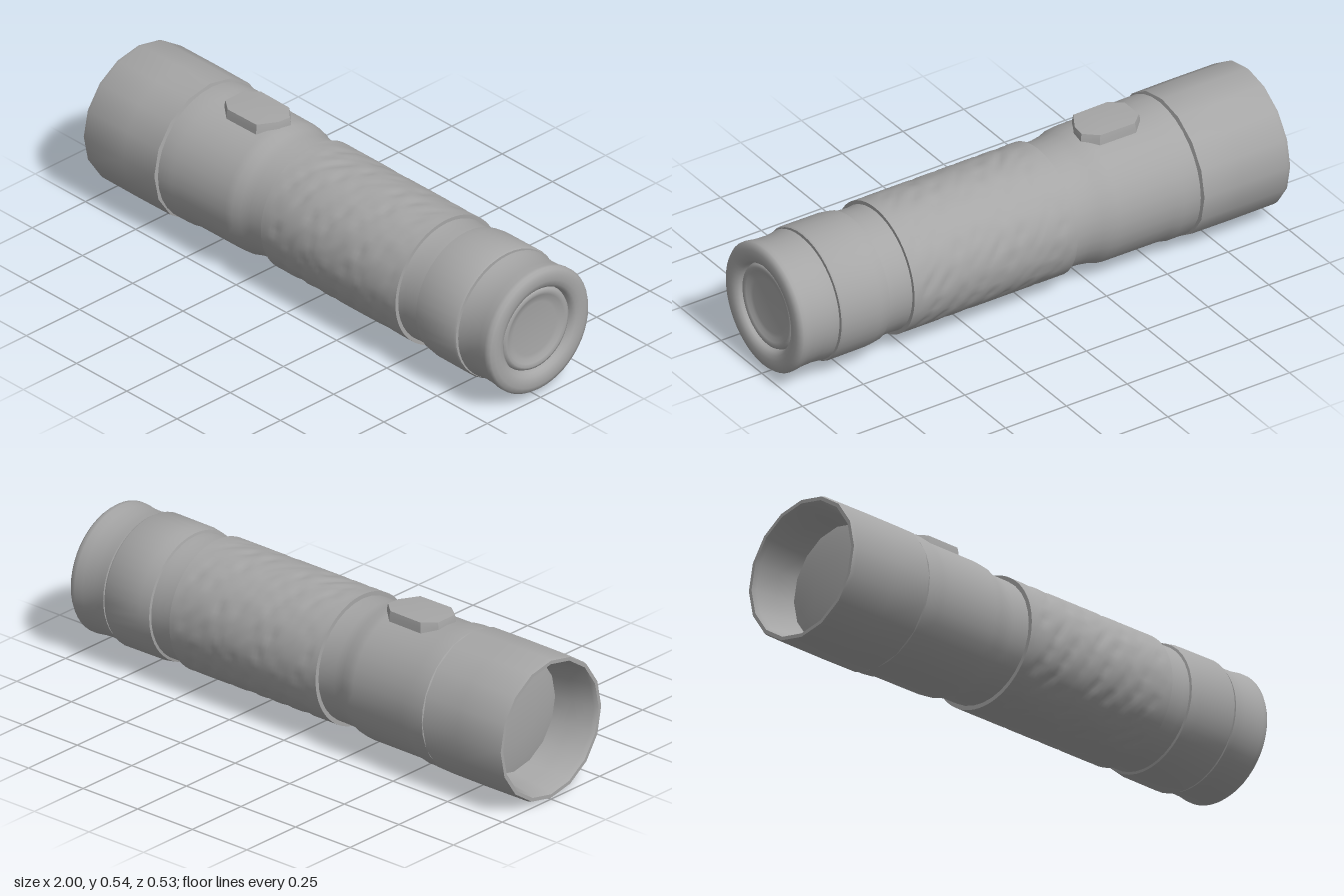
import * as THREE from 'three';
import { toCreasedNormals, mergeVertices } from 'three/addons/utils/BufferGeometryUtils.js';

const AXIS_Y = 0.264;

export function createModel() {
  const group = new THREE.Group();
  const metal = new THREE.MeshStandardMaterial({ color: 0xa6a6a6 });
  metal.name = 'grey metal';

  function add(name, geometry) {
    const mesh = new THREE.Mesh(geometry, metal);
    mesh.name = name;
    group.add(mesh);
    return mesh;
  }

  // Turned part along x; profile points are [x, radius]
  function turned(profile, sides) {
    const g = new THREE.LatheGeometry(profile.map(([x, r]) => new THREE.Vector2(r, x)), sides);
    g.rotateZ(-Math.PI / 2);
    g.translate(0, AXIS_Y, 0);
    return g;
  }
  const addTurned = (name, profile, sides, crease = 0.6) =>
    add(name, toCreasedNormals(turned(profile, sides), crease));

  // Faceted head with an open reflector cup
  addTurned('head', [
    [-0.83, 0.212], [-0.90, 0.224], [-0.985, 0.236], [-1.0, 0.245],
    [-1.0, 0.258], [-0.985, 0.262], [-0.8, 0.263], [-0.645, 0.262], [-0.64, 0.235],
  ], 16);

  // Slightly domed lens at the bottom of the cup
  addTurned('lens', [[-0.845, 0], [-0.843, 0.1], [-0.835, 0.18], [-0.828, 0.216]], 24);

  // Neck that carries the switch and tapers towards the grip
  addTurned('neck', [
    [-0.645, 0.235], [-0.635, 0.254], [-0.57, 0.254], [-0.535, 0.247], [-0.31, 0.246],
    [-0.28, 0.243], [-0.25, 0.233], [-0.21, 0.227], [-0.13, 0.226],
  ], 32);

  // Knurled grip: wavy dents pressed into a cylinder
  const rows = 44, x0 = -0.137, x1 = 0.533;
  const gripProfile = Array.from({ length: rows + 1 }, (_, i) => [x0 + (x1 - x0) * i / rows, 0.241]);
  const grip = turned(gripProfile, 72);
  const p = grip.attributes.position;
  for (let i = 0; i < p.count; i++) {
    const x = p.getX(i), y = p.getY(i) - AXIS_Y, z = p.getZ(i);
    const a = Math.atan2(z, y);
    const wave = Math.sin(x * 47 + 2 * Math.sin(a * 5)) * Math.sin(a * 13 + 1.7 * Math.sin(x * 29))
      + 0.5 * Math.sin(x * 71 + a * 9);
    const edge = Math.min(1, (x - x0) / 0.05, (x1 - x) / 0.05);
    const k = 1 - 0.016 * edge * Math.max(0, wave);
    p.setXYZ(i, x, AXIS_Y + y * k, z * k);
  }
  grip.deleteAttribute('uv');
  grip.deleteAttribute('normal');
  const gripSmooth = mergeVertices(grip);
  gripSmooth.computeVertexNormals();
  add('grip', gripSmooth);

  // Shoulders closing both ends of the grip
  addTurned('gripFrontShoulder', [[x0, 0.22], [x0, 0.241]], 72);
  addTurned('gripRearShoulder', [[x1, 0.241], [x1, 0.22]], 72);

  // Rear tube with its collar
  addTurned('rearTube', [
    [0.52, 0.229], [0.56, 0.225], [0.60, 0.227], [0.628, 0.227], [0.63, 0.236],
    [0.67, 0.242], [0.825, 0.243], [0.832, 0.239], [0.832, 0.222],
  ], 40);

  // Tail cap with a rounded lip around the button well
  addTurned('tailCap', [
    [0.825, 0.226], [0.838, 0.226], [0.84, 0.236], [0.86, 0.233], [0.89, 0.230],
    [0.94, 0.232], [0.97, 0.237], [0.985, 0.237], [0.995, 0.229], [1.0, 0.212],
    [1.0, 0.19], [0.995, 0.172], [0.985, 0.161], [0.965, 0.157],
  ], 48, 0.8);

  // Dished tail button
  addTurned('tailButton', [
    [0.965, 0.158], [0.978, 0.152], [0.982, 0.142], [0.978, 0.13], [0.971, 0.115], [0.969, 0.1], [0.969, 0],
  ], 48, 0.8);

  // Side switch: rounded irregular pad with a low peak, points are [x, z]
  const outline = [[-0.525, -0.045], [-0.48, -0.086], [-0.335, -0.084], [-0.285, -0.04],
    [-0.29, 0.01], [-0.33, 0.08], [-0.475, 0.082], [-0.525, 0.045]];
  const cx = -0.405;
  const rings = [[0.455, 1.02], [0.515, 1], [0.533, 0.97]];
  const n = outline.length, pos = [], index = [];
  for (const [y, s] of rings)
    for (const [x, z] of outline) pos.push(cx + (x - cx) * s, y, z * s);
  pos.push(cx, 0.54, 0);
  for (let i = 0; i < n; i++) {
    const j = (i + 1) % n;
    for (let r = 0; r < rings.length - 1; r++) {
      const a = r * n + i, b = r * n + j;
      index.push(a, a + n, b, b, a + n, b + n);
    }
    const top = (rings.length - 1) * n;
    index.push(top + i, rings.length * n, top + j);
  }
  const pad = new THREE.BufferGeometry();
  pad.setAttribute('position', new THREE.Float32BufferAttribute(pos, 3));
  pad.setIndex(index);
  add('sideSwitch', toCreasedNormals(pad, 0.6));

  return group;
}
